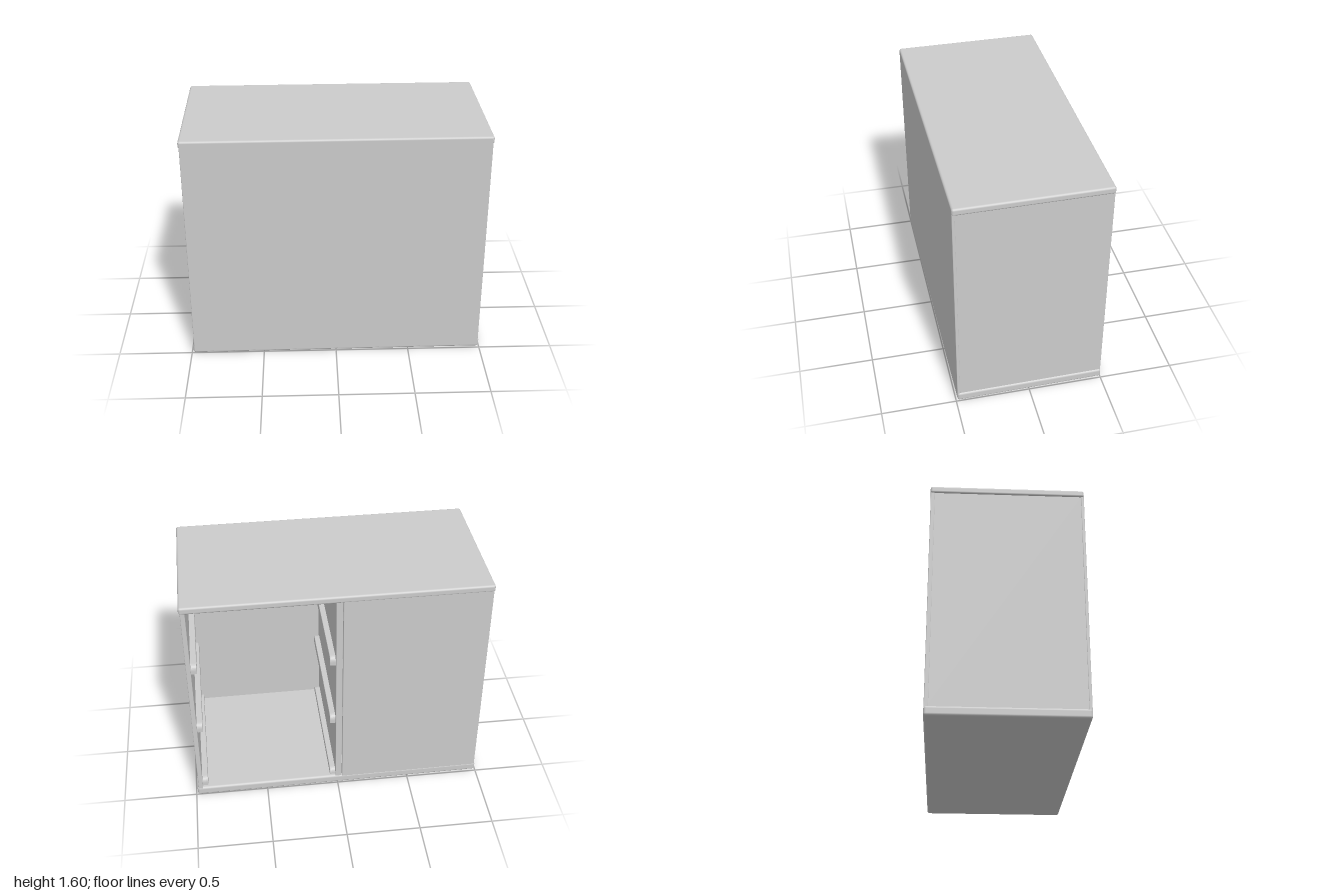
import * as THREE from 'three';
import { RoundedBoxGeometry } from 'three/addons/geometries/RoundedBoxGeometry.js';

const grey = new THREE.MeshStandardMaterial({ color: 0xcccccc });

// Softly rounded board given by its min and max on each axis.
function board(name, x0, x1, y0, y1, z0, z1, radius = 0.004) {
  const geometry = new RoundedBoxGeometry(x1 - x0, y1 - y0, z1 - z0, 3, radius);
  const mesh = new THREE.Mesh(geometry, grey);
  mesh.name = name;
  mesh.position.set((x0 + x1) / 2, (y0 + y1) / 2, (z0 + z1) / 2);
  return mesh;
}

// Drawer runner: a long bar along z with rounded upper ends, extruded in x.
function runner(name, x, y, width) {
  const a = 0.47, h = 0.027, r = 0.035;
  const s = new THREE.Shape();
  s.moveTo(-a, -h);
  s.lineTo(a, -h);
  s.lineTo(a, h - r);
  s.quadraticCurveTo(a, h, a - r, h);
  s.lineTo(-a + r, h);
  s.quadraticCurveTo(-a, h, -a, h - r);
  s.closePath();
  const geometry = new THREE.ExtrudeGeometry(s, {
    depth: width, bevelEnabled: true, bevelSize: 0.004, bevelThickness: 0.004, bevelSegments: 2, curveSegments: 8,
  });
  geometry.translate(0, 0, -width / 2);
  geometry.rotateY(Math.PI / 2);
  const mesh = new THREE.Mesh(geometry, grey);
  mesh.name = name;
  mesh.position.set(x, y, 0);
  return mesh;
}

export function createModel() {
  const cabinet = new THREE.Group();
  cabinet.name = 'cabinet';

  // Top and base boards, overhanging the sides slightly
  cabinet.add(board('topBoard', -0.994, 0.994, 1.547, 1.595, -0.497, 0.497, 0.014));
  cabinet.add(board('baseBoard', -0.994, 0.994, 0, 0.062, -0.497, 0.497, 0.016));

  // Side walls
  cabinet.add(board('leftWall', 0.955, 0.985, 0.04, 1.57, -0.494, 0.494));
  cabinet.add(board('rightWall', -0.985, -0.955, 0.04, 1.57, -0.494, 0.494));

  // Closed front, central divider and the door over half of the back
  cabinet.add(board('frontPanel', -0.987, 0.987, 0.012, 1.583, 0.477, 0.497));
  cabinet.add(board('divider', -0.025, 0.018, 0.04, 1.57, -0.492, 0.485));
  cabinet.add(board('backDoor', -0.987, -0.028, 0.05, 1.56, -0.495, -0.468));

  // Three pairs of runners in the open bay
  const runners = new THREE.Group();
  runners.name = 'runners';
  for (const y of [0.095, 0.595, 1.095]) {
    runners.add(runner('leftRunner', 0.938, y, 0.036));
    runners.add(runner('dividerRunner', 0.034, y - 0.02, 0.036));
  }
  cabinet.add(runners);

  // The whole cabinet stands very slightly turned
  cabinet.rotation.y = 0.008;

  const model = new THREE.Group();
  model.name = 'model';
  model.add(cabinet);
  return model;
}
